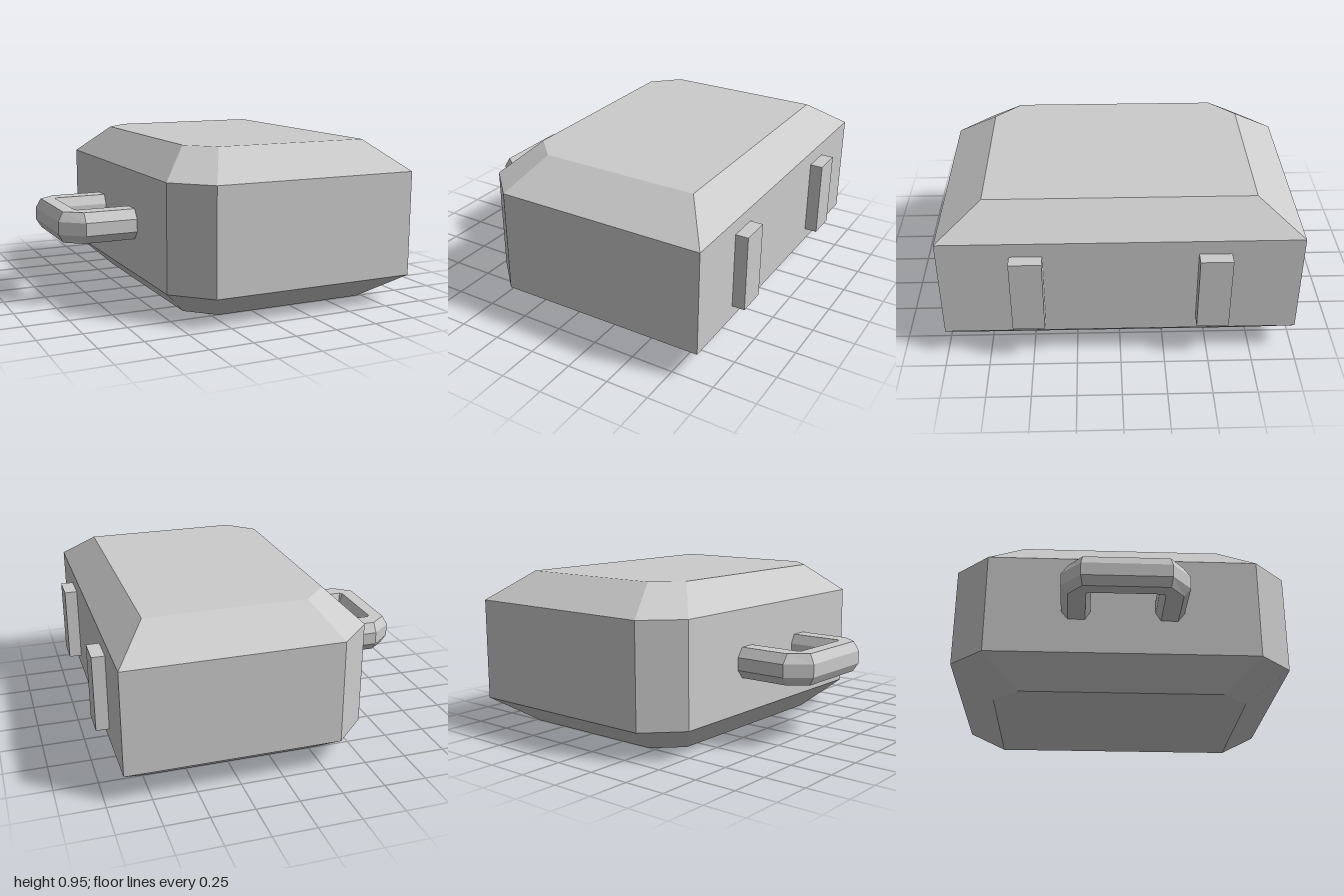
import * as THREE from 'three';

const material = new THREE.MeshStandardMaterial({ color: 0xcccccc, flatShading: true });

// Skins a series of convex rings (counter-clockwise around the travel direction) and caps both ends.
function loft(rings) {
  const n = rings[0].length;
  const index = [];
  for (let i = 0; i < rings.length - 1; i++) {
    for (let j = 0; j < n; j++) {
      const a = i * n + j, b = i * n + (j + 1) % n;
      index.push(a, b, b + n, a, b + n, a + n);
    }
  }
  const last = (rings.length - 1) * n;
  for (let j = 1; j < n - 1; j++) {
    index.push(0, j + 1, j, last, last + j, last + j + 1);
  }
  const geometry = new THREE.BufferGeometry();
  geometry.setAttribute('position', new THREE.Float32BufferAttribute(rings.flat(2), 3));
  geometry.setIndex(index);
  const flat = geometry.toNonIndexed();
  flat.computeVertexNormals();
  return flat;
}

function addMesh(group, name, geometry) {
  const mesh = new THREE.Mesh(geometry, material);
  mesh.name = name;
  group.add(mesh);
  return mesh;
}

export function createModel() {
  const model = new THREE.Group();
  model.name = 'case';

  // Body: wide middle band between two smaller, bevelled faces
  const wide = [[0.9, 1], [0.9, -1], [-0.34, -1], [-0.54, -0.8], [-0.54, 0.8], [-0.34, 1]];
  const narrow = [[0.72, 0.75], [0.72, -0.75], [-0.21, -0.75], [-0.36, -0.6], [-0.36, 0.6], [-0.21, 0.75]];
  const level = (outline, y) => outline.map(([x, z]) => [x, y, z]);
  addMesh(model, 'body', loft([
    level(narrow, 0), level(wide, 0.17), level(wide, 0.78), level(narrow, 0.95),
  ]));

  // Handle: octagonal bar; each section lists outer, outer rim, inner rim, inner in plan
  const half = [
    [[-0.5, -0.36], [-0.5, -0.32], [-0.5, -0.22], [-0.5, -0.19]],
    [[-0.845, -0.36], [-0.845, -0.32], [-0.85, -0.22], [-0.835, -0.19]],
    [[-0.975, -0.25], [-0.945, -0.24], [-0.865, -0.205], [-0.843, -0.2]],
  ];
  const mirrored = half.map((section) => section.map(([x, z]) => [x, -z])).reverse();
  const handleRings = [...half, ...mirrored].map(([outer, outerRim, innerRim, inner]) => [
    [inner, 0.43], [inner, 0.505], [innerRim, 0.56], [outerRim, 0.56],
    [outer, 0.505], [outer, 0.43], [outerRim, 0.38], [innerRim, 0.38],
  ].map(([[x, z], y]) => [x, y, z]));
  addMesh(model, 'handle', loft(handleRings));

  // Hinge plates on the side opposite the handle
  for (const [name, side] of [['frontHinge', 1], ['backHinge', -1]]) {
    const hinge = addMesh(model, name, new THREE.BoxGeometry(0.095, 0.45, 0.18));
    hinge.position.set(0.9275, 0.47, side * 0.515);
  }

  return model;
}
